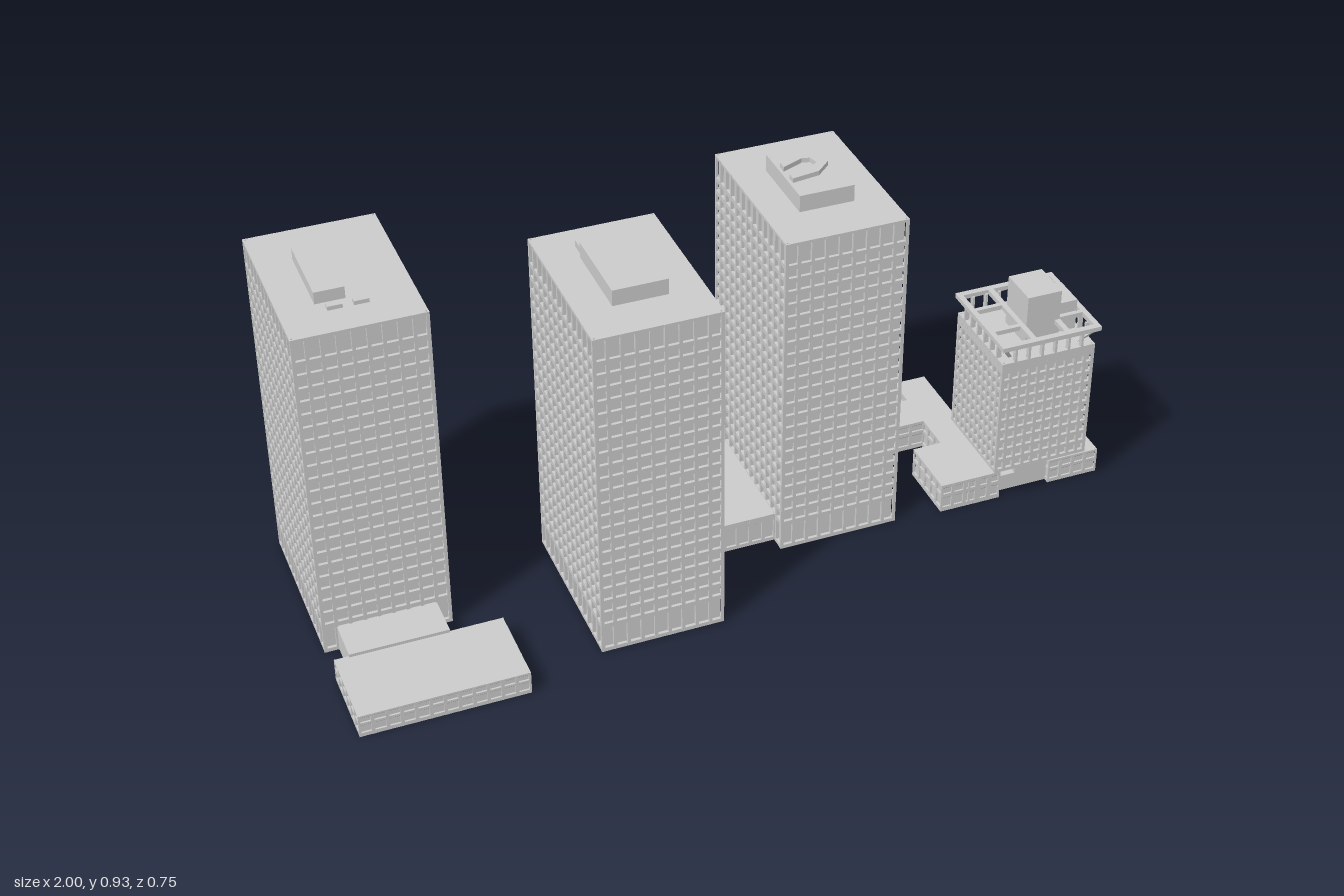
import * as THREE from 'three';
import { mergeGeometries } from 'three/addons/utils/BufferGeometryUtils.js';

const material = new THREE.MeshStandardMaterial({ color: 0xcccccc, flatShading: true });

// Box from its limits
function box(x0, x1, y0, y1, z0, z1) {
  return new THREE.BoxGeometry(x1 - x0, y1 - y0, z1 - z0)
    .translate((x0 + x1) / 2, (y0 + y1) / 2, (z0 + z1) / 2);
}

function add(group, name, parts) {
  const mesh = new THREE.Mesh(mergeGeometries(parts), material);
  mesh.name = name;
  group.add(mesh);
  return mesh;
}

// One wall facing +z at z = 0: spandrel bands with sloping undersides, and piers
function facade(w, y0, y1, rows, bays, d, pier) {
  const parts = [];
  const edges = [y0, ...rows.flat(), y1];
  for (let i = 0; i < edges.length; i += 2) {
    const a = edges[i], b = edges[i + 1];
    const band = box(-w / 2 + d, w / 2 - d, a, b, -d, -0.0003);
    const p = band.attributes.position;
    if (i > 0) {
      for (let k = 0; k < p.count; k++) {
        if (p.getY(k) < (a + b) / 2 && p.getZ(k) < -d / 2) p.setY(k, a - 0.005);
      }
    }
    parts.push(band);
  }
  for (let i = 0; i <= bays; i++) {
    const x = -w / 2 + (w * i) / bays;
    const l = Math.max(x - pier / 2, -w / 2), r = Math.min(x + pier / 2, w / 2);
    parts.push(box(l, r, y0, y1, -d, 0));
  }
  return parts;
}

// Block with recessed windows on all four sides; rows = [sill, head] pairs
function windowBlock(x0, x1, y0, y1, z0, z1, rows, bay, d = 0.008, pier = 0.008) {
  const parts = [box(x0 + d, x1 - d, y0, y1, z0 + d, z1 - d)];
  const cx = (x0 + x1) / 2, cz = (z0 + z1) / 2, w = x1 - x0, l = z1 - z0;
  for (let side = 0; side < 4; side++) {
    const len = side % 2 ? l : w, out = (side % 2 ? w : l) / 2;
    for (const g of facade(len, y0, y1, rows, Math.round(len / bay), d, pier)) {
      parts.push(g.translate(0, 0, out).rotateY((side * Math.PI) / 2).translate(cx, 0, cz));
    }
  }
  return parts;
}

// Floors of the tall slabs: high ground floor, regular floors, high top floor
const slabRows = [[0.01, 0.07]];
for (let i = 0; i < 21; i++) slabRows.push([0.082 + i * 0.035, 0.105 + i * 0.035]);
slabRows.push([0.817, 0.868]);
const BAY = 0.034;

function slabTower(group, name, x0, x1, z0, z1) {
  add(group, name, windowBlock(x0, x1, 0, 0.875, z0, z1, slabRows, BAY));
}

// Small tower raised on a core, with an open roof frame
function smallTower() {
  const g = new THREE.Group();
  g.name = 'raisedTower';
  const X0 = 0.685, X1 = 0.935, Z0 = -0.1, Z1 = 0.145, cx = 0.81, cz = 0.0225;
  const rows = [];
  for (let i = 0; i < 10; i++) rows.push([0.119 + i * 0.0297, 0.138 + i * 0.0297]);
  add(g, 'raisedBody', windowBlock(X0, X1, 0.11, 0.435, Z0, Z1, rows, 0.025, 0.008, 0.008));
  add(g, 'core', [
    box(0.775, 0.865, 0, 0.568, -0.02, 0.085),
    box(0.86, 0.922, 0.43, 0.517, -0.02, 0.065),
  ]);

  // Roof grid: rim beams plus two cross beams each way
  const frame = [];
  for (const [a, b] of [[0.68, 0.694], [0.762, 0.776], [0.852, 0.866], [0.931, 0.945]]) {
    frame.push(box(a, b, 0.475, 0.487, -0.11, 0.152));
  }
  for (const [a, b] of [[-0.11, -0.094], [-0.032, -0.02], [0.067, 0.079], [0.136, 0.152]]) {
    frame.push(box(0.68, 0.945, 0.475, 0.487, a, b));
  }
  add(g, 'roofFrame', frame);

  // Posts under the rim and slanted corner struts
  const posts = [];
  for (let i = 1; i <= 6; i++) {
    const t = i / 7, x = X0 + (X1 - X0) * t, z = Z0 + (Z1 - Z0) * t;
    for (const zz of [Z0 + 0.006, Z1 - 0.006]) posts.push(box(x - 0.003, x + 0.003, 0.43, 0.478, zz - 0.006, zz + 0.006));
    for (const xx of [X0 + 0.006, X1 - 0.006]) posts.push(box(xx - 0.006, xx + 0.006, 0.43, 0.478, z - 0.003, z + 0.003));
  }
  for (const sx of [-1, 1]) for (const sz of [-1, 1]) {
    const strut = box(-0.005, 0.005, 0.43, 0.478, -0.005, 0.005);
    const p = strut.attributes.position;
    for (let k = 0; k < p.count; k++) {
      const reach = p.getY(k) > 0.45 ? 0.122 : 0.09;
      p.setXYZ(k, cx + sx * reach + p.getX(k), p.getY(k), cz + sz * reach + p.getZ(k));
    }
    posts.push(strut);
  }
  add(g, 'roofPosts', posts);

  // Low wings around the foot
  const low = [[0.012, 0.042], [0.052, 0.072]];
  add(g, 'backWing', windowBlock(0.635, 0.722, 0, 0.08, -0.335, 0.11, low, BAY, 0.005));
  add(g, 'sideWing', windowBlock(0.56, 0.64, 0, 0.08, -0.255, -0.155, low, BAY, 0.005));
  add(g, 'frontWing', windowBlock(0.56, 0.722, 0, 0.08, -0.055, 0.11, low, BAY, 0.005));
  add(g, 'entrancePassage', [box(0.715, 0.78, 0, 0.045, -0.02, 0.085)]);
  add(g, 'outerWing', windowBlock(0.863, 1, 0, 0.068, -0.02, 0.1, [[0.01, 0.036], [0.043, 0.062]], BAY, 0.005));
  return g;
}

export function createModel() {
  const model = new THREE.Group();
  model.name = 'towerComplex';

  // Right-hand slab with linked front pavilion
  slabTower(model, 'rightTower', -1, -0.69, -0.375, 0.065);
  add(model, 'rightTowerRoof', [
    box(-0.915, -0.845, 0.87, 0.905, -0.25, -0.055),
    box(-0.895, -0.86, 0.87, 0.885, -0.036, -0.02),
    box(-0.835, -0.8, 0.87, 0.885, -0.036, -0.02),
  ]);
  add(model, 'pavilionLink', [box(-0.965, -0.725, 0, 0.068, 0.06, 0.17)]);
  add(model, 'pavilion', windowBlock(-1, -0.595, 0, 0.06, 0.165, 0.372, [[0.01, 0.033], [0.039, 0.055]], BAY, 0.005));

  // Middle slab
  slabTower(model, 'middleTower', -0.4, -0.095, -0.14, 0.3);
  add(model, 'middleTowerRoof', [
    box(-0.315, -0.183, 0.87, 0.915, -0.022, 0.19),
    box(-0.31, -0.19, 0.87, 0.892, -0.07, -0.02),
  ]);

  // Low building joining the two inner slabs
  add(model, 'joiningHall', windowBlock(-0.097, 0.137, 0, 0.08, -0.275, 0.06, [[0.01, 0.063]], BAY, 0.006));

  // Left-hand slab with a curled roof wall
  slabTower(model, 'leftTower', 0.133, 0.44, -0.337, 0.1);
  add(model, 'leftTowerRoof', [box(0.217, 0.354, 0.87, 0.918, -0.222, -0.02)]);
  const curl = new THREE.Shape([
    [0.225, -0.157], [0.285, -0.184], [0.325, -0.165], [0.333, -0.125], [0.295, -0.09], [0.225, -0.08],
    [0.225, -0.1], [0.275, -0.105], [0.305, -0.13], [0.298, -0.153], [0.28, -0.158], [0.225, -0.135],
  ].map(([x, z]) => new THREE.Vector2(x, z)));
  add(model, 'roofCurl', [
    new THREE.ExtrudeGeometry(curl, { depth: 0.02, bevelEnabled: false }).rotateX(Math.PI / 2).translate(0, 0.93, 0),
  ]);

  model.add(smallTower());
  return model;
}
